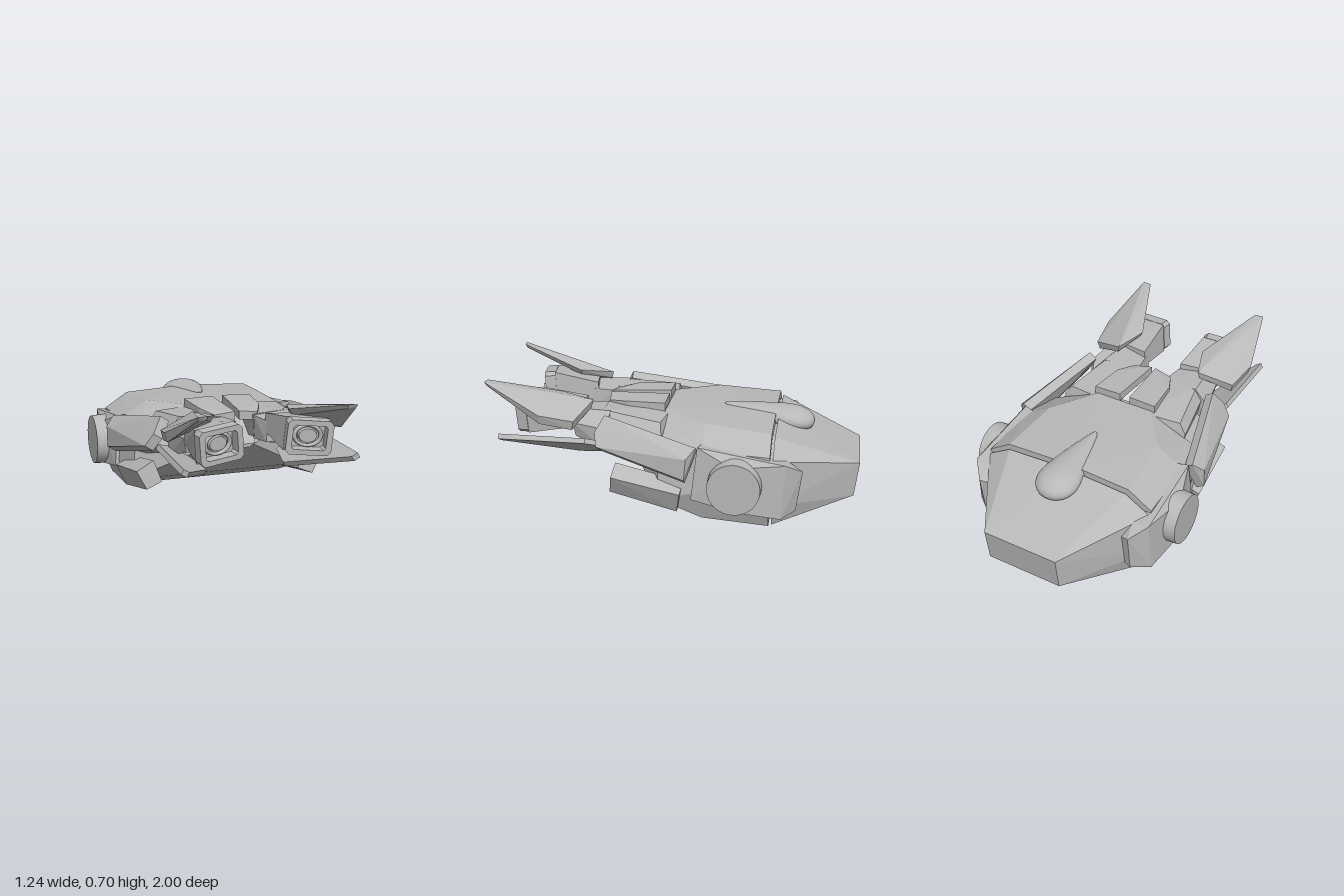
import * as THREE from 'three';
import { ConvexGeometry } from 'three/addons/geometries/ConvexGeometry.js';

export function createModel() {
  const model = new THREE.Group();
  model.name = 'armouredCraft';
  const grey = new THREE.MeshStandardMaterial({ color: 0xb8b8b8 });
  grey.name = 'hull grey';

  function add(name, geometry, parent = model) {
    const mesh = new THREE.Mesh(geometry, grey);
    mesh.name = name;
    parent.add(mesh);
    return mesh;
  }
  // Faceted solid through corner points; side = -1 mirrors it
  function solid(name, points, side = 1, parent = model) {
    return add(name, new ConvexGeometry(points.map(([x, y, z]) => new THREE.Vector3(x * side, y, z))), parent);
  }
  // Symmetric faceted solid from half sections: [z, [[x, y], ...]]
  function shell(name, sections) {
    const points = [];
    for (const [z, half] of sections)
      for (const [x, y] of half) {
        points.push([x, y, z]);
        if (x > 0) points.push([-x, y, z]);
      }
    return solid(name, points);
  }
  // Plate: the outline repeated with an offset
  const slab = (outline, [dx, dy, dz]) =>
    [...outline, ...outline.map(([x, y, z]) => [x + dx, y + dy, z + dz])];

  // Hull in two shells with a narrow seam; the front one ends in a wedge-shaped jaw
  shell('frontShell', [
    [0.27, [[0.14, 0.335]]],
    [0.055, [[0.17, 0.53], [0.46, 0.39], [0.49, 0.13]]],
    [-0.18, [[0.34, 0.515], [0.5, 0.42], [0.525, 0.2], [0.47, 0.03]]],
    [-0.535, [[0, 0.505], [0.37, 0.485], [0.5, 0.4], [0.525, 0.15], [0.47, 0.005]]],
  ]);
  shell('seamCore', [
    [-0.5, [[0.34, 0.46], [0.47, 0.38], [0.48, 0.14], [0.43, 0.03]]],
    [-0.6, [[0.33, 0.43], [0.45, 0.36], [0.45, 0.14], [0.42, 0.04]]],
  ]);
  shell('rearShell', [
    [-0.55, [[0, 0.485], [0.36, 0.465], [0.5, 0.38], [0.5, 0.13], [0.46, 0.01]]],
    [-1, [[0.215, 0.29]]],
    [-0.975, [[0.215, 0.1]]],
  ]);
  shell('chinLip', [
    [0.18, [[0.19, 0.375], [0.18, 0.335]]],
    [0.29, [[0.14, 0.345], [0.11, 0.325]]],
  ]);

  // Teardrop dome on top
  const drop = [[0, -0.118], [0.05, -0.107], [0.09, -0.076], [0.113, -0.03], [0.117, 0.02],
    [0.107, 0.08], [0.08, 0.18], [0.045, 0.29], [0.015, 0.375], [0, 0.39]];
  const curve = new THREE.SplineCurve(drop.map(p => new THREE.Vector2(...p)));
  const profile = curve.getPoints(36).map(p => new THREE.Vector2(Math.max(0, p.x), p.y));
  const dome = add('teardropDome', new THREE.LatheGeometry(profile, 40).rotateX(Math.PI / 2).scale(1, 0.56, 1));
  dome.position.set(0, 0.455, -0.63);
  dome.rotation.x = -0.17;

  // Chamfered rectangle outline for the lamp frame
  function chamferRect(Type, w, h, r) {
    return new Type([[-w + r, -h], [w - r, -h], [w, -h + r], [w, h - r],
      [w - r, h], [-w + r, h], [-w, h - r], [-w, -h + r]].map(p => new THREE.Vector2(...p)));
  }

  for (const side of [1, -1]) {
    // Side pod with round cover
    solid('sidePod', [
      [0.52, 0.445, -0.16], [0.54, 0.16, -0.13], [0.575, 0.36, -0.35], [0.58, 0.12, -0.36],
      [0.535, 0.375, -0.62], [0.545, 0.08, -0.6], [0.46, 0.32, -0.705], [0.46, 0.1, -0.675],
      [0.44, 0.44, -0.18], [0.42, 0.14, -0.14], [0.44, 0.37, -0.62], [0.42, 0.06, -0.6],
      [0.4, 0.3, -0.68], [0.4, 0.12, -0.66],
    ], side);
    const cover = add('roundCover', new THREE.CylinderGeometry(0.138, 0.145, 0.12, 40).rotateZ(-side * Math.PI / 2));
    cover.position.set(side * 0.56, 0.26, -0.36);

    // Shoulder vane
    solid('shoulderVane', slab([
      [0.405, 0.555, 0.35], [0.455, 0.475, 0.395], [0.5, 0.41, 0.38],
      [0.59, 0.285, -0.1], [0.59, 0.4, -0.11], [0.54, 0.45, -0.155],
    ], [-0.045, -0.03, 0]), side);

    // Lower block, a sheared square tube
    solid('lowerBlock', [
      [0.43, 0.3, 0.29], [0.525, 0.25, 0.3], [0.475, 0.15, 0.315], [0.39, 0.185, 0.31],
      [0.455, 0.225, -0.08], [0.55, 0.185, -0.07], [0.5, 0.07, -0.05], [0.41, 0.1, -0.06],
    ], side);

    // Strut between vane and jaw
    solid('strut', [
      [0.3, 0.41, 0.32], [0.37, 0.38, 0.32], [0.3, 0.34, 0.32],
      [0.4, 0.42, -0.08], [0.52, 0.35, -0.1], [0.5, 0.24, -0.08], [0.36, 0.28, -0.06],
    ], side);

    // Arm and elbow
    solid('arm', [
      [0.12, 0.52, 0.03], [0.35, 0.51, 0.06], [0.39, 0.45, 0.05], [0.36, 0.32, 0.04], [0.16, 0.34, 0.04],
      [0.09, 0.535, 0.39], [0.29, 0.545, 0.38], [0.33, 0.48, 0.38], [0.31, 0.37, 0.36], [0.1, 0.41, 0.39],
    ], side);
    solid('elbow', [
      [0.095, 0.53, 0.39], [0.3, 0.545, 0.34], [0.37, 0.46, 0.35], [0.36, 0.34, 0.35], [0.1, 0.4, 0.38],
      [0.12, 0.53, 0.54], [0.28, 0.545, 0.54], [0.34, 0.48, 0.54], [0.32, 0.4, 0.53], [0.11, 0.42, 0.54],
    ], side);

    // Cover plate over the arm
    solid('coverPlate', slab([
      [0.03, 0.57, 0.06], [0.19, 0.565, 0.06], [0.17, 0.56, 0.27], [0.12, 0.545, 0.38], [0.012, 0.56, 0.395],
    ], [0, -0.045, 0]), side);

    // Lamp with tapered housing and recessed lens
    const lamp = new THREE.Group();
    lamp.name = 'lamp';
    lamp.position.set(side * 0.23, 0.508, 0.83);
    lamp.rotation.set(0.04, -side * 0.16, -side * 0.09);
    model.add(lamp);
    const frameShape = chamferRect(THREE.Shape, 0.118, 0.09, 0.02);
    frameShape.holes.push(chamferRect(THREE.Path, 0.088, 0.063, 0.012));
    add('lampFrame', new THREE.ExtrudeGeometry(frameShape, { depth: 0.06, bevelEnabled: false }), lamp).position.z = -0.06;
    solid('lampHousing', [
      [-0.114, -0.088, -0.06], [0.114, -0.088, -0.06], [0.114, 0.088, -0.06], [-0.114, 0.088, -0.06],
      [-0.165, -0.06, -0.31], [0.06, -0.06, -0.31], [0.04, 0.045, -0.31], [-0.165, 0.03, -0.31],
    ], side, lamp);
    const ring = add('lensRing', new THREE.TorusGeometry(0.062, 0.01, 8, 32).scale(1.1, 0.85, 1.5), lamp);
    ring.position.z = -0.05;
    const lens = add('lens', new THREE.CylinderGeometry(0.042, 0.046, 0.02, 32).rotateX(Math.PI / 2).scale(1.1, 0.85, 1), lamp);
    lens.position.z = -0.05;

    // Upper fin above the lamp
    solid('upperFin', [
      [0.26, 0.59, 0.44], [0.2, 0.61, 0.62], [0.355, 0.707, 0.995], [0.405, 0.707, 1], [0.48, 0.56, 0.69], [0.45, 0.525, 0.51],
      [0.27, 0.55, 0.45], [0.22, 0.575, 0.62], [0.36, 0.685, 0.985], [0.4, 0.685, 0.985], [0.465, 0.51, 0.69], [0.44, 0.475, 0.52],
    ], side);

    // Lower blade
    solid('lowerBlade', slab([
      [0.465, 0.413, 0.92], [0.435, 0.395, 0.915], [0.225, 0.275, 0.53], [0.26, 0.295, 0.34], [0.375, 0.36, 0.32], [0.46, 0.41, 0.45],
    ], [-0.014, 0.024, 0]), side);
  }
  return model;
}
